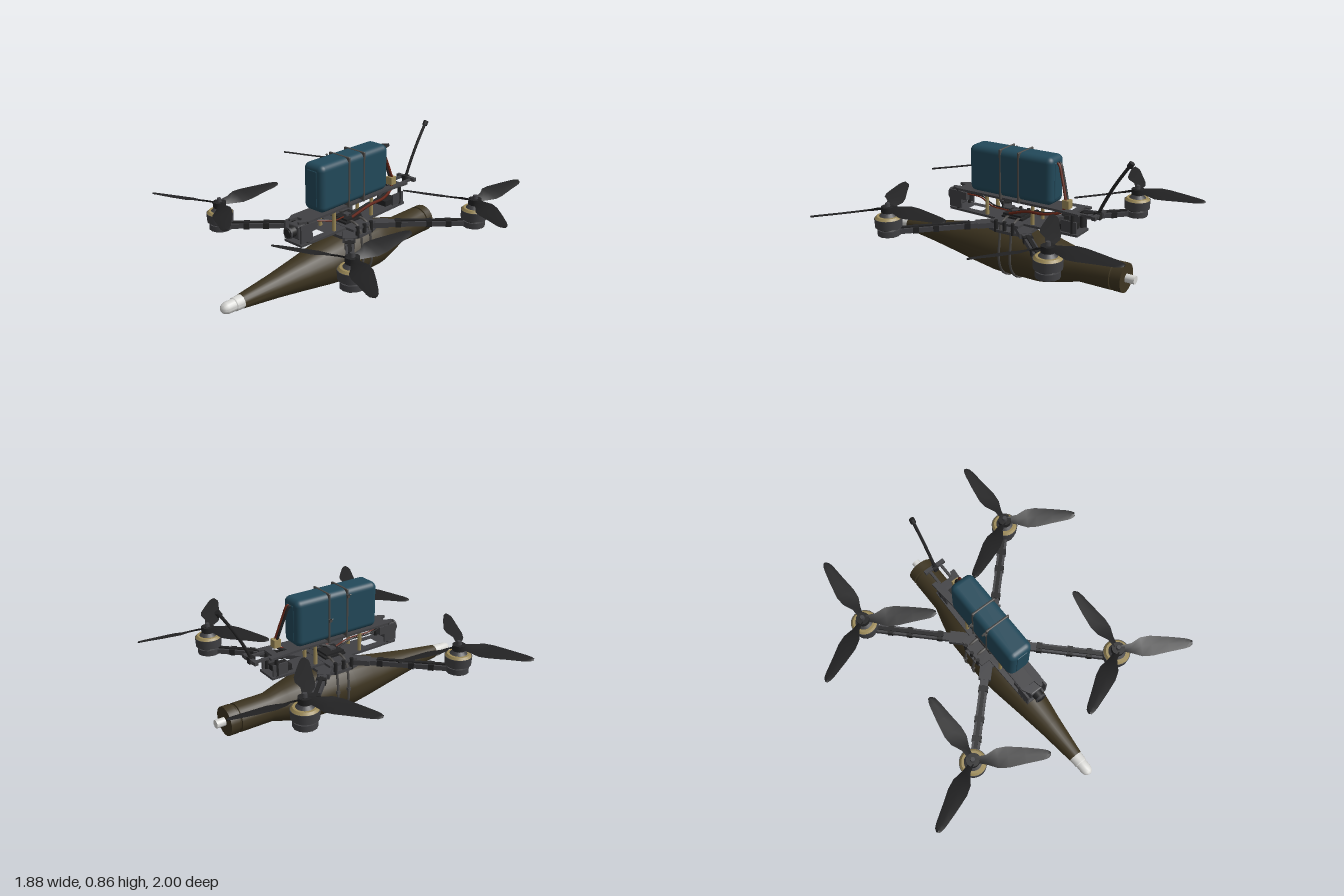
import * as THREE from 'three';
import { toCreasedNormals } from 'three/addons/utils/BufferGeometryUtils.js';
import { RoundedBoxGeometry } from 'three/addons/geometries/RoundedBoxGeometry.js';

const mat = (name, color, side = THREE.FrontSide) => {
  const m = new THREE.MeshStandardMaterial({ color, side });
  m.name = name;
  return m;
};
const V = (x, y, z) => new THREE.Vector3(x, y, z);

export function createModel() {
  const olive = mat('olive', 0x3d3420);
  const teal = mat('teal', 0x22495a);
  const black = mat('black', 0x232324);
  const grey = mat('frame grey', 0x414144);
  const white = mat('pale metal', 0xd8d8d5);
  const brass = mat('brass', 0x9c8a58);
  const red = mat('wire red', 0x642416);
  const strapGrey = mat('strap grey', 0x4a4846);

  const root = new THREE.Group();
  root.name = 'quadcopter';
  root.position.x = -0.015;

  const add = (name, geo, m, x = 0, y = 0, z = 0, parent = root) => {
    const mesh = new THREE.Mesh(geo, m);
    mesh.name = name;
    mesh.position.set(x, y, z);
    parent.add(mesh);
    return mesh;
  };
  const box = (name, m, w, h, d, x, y, z, p) => add(name, new THREE.BoxGeometry(w, h, d), m, x, y, z, p);
  const cyl = (name, m, r1, r2, h, x, y, z, p, n = 20) => add(name, new THREE.CylinderGeometry(r1, r2, h, n), m, x, y, z, p);
  const tube = (name, m, pts, r, closed = false) =>
    add(name, new THREE.TubeGeometry(new THREE.CatmullRomCurve3(pts, closed), 36, r, 6, closed), m);
  // horizontal plate from an outline of [x, z] with optional holes, bottom at y
  const plate = (name, m, pts, holes, h, y) => {
    const toV = (a) => a.map(([x, z]) => new THREE.Vector2(x, -z));
    const s = new THREE.Shape(toV(pts));
    for (const hole of holes) s.holes.push(new THREE.Path(toV(hole)));
    const g = new THREE.ExtrudeGeometry(s, { depth: h, bevelEnabled: false }).rotateX(-Math.PI / 2);
    return add(name, g, m, 0, y, 0);
  };
  const rect = (x, z0, z1) => [[-x, z0], [x, z0], [x, z1], [-x, z1]];
  // lathe along z from [z, radius] points listed back to front
  const spindle = (name, m, pts, n = 18) => {
    const g = new THREE.LatheGeometry(pts.map(([z, r]) => new THREE.Vector2(r, z)), n).rotateX(Math.PI / 2);
    return add(name, toCreasedNormals(g, 0.6), m, 0, 0.163, 0);
  };

  // Slung body
  spindle('slungBody', olive, [[-0.75, 0], [-0.75, 0.09], [-0.695, 0.09], [-0.692, 0.083], [-0.68, 0.083], [-0.677, 0.09],
    [-0.46, 0.09], [-0.36, 0.118], [-0.24, 0.147], [-0.18, 0.153], [0.1, 0.153], [0.25, 0.132], [0.42, 0.104],
    [0.62, 0.073], [0.86, 0.043], [0.86, 0]]);
  spindle('noseCap', white, [[0.855, 0], [0.855, 0.042], [0.91, 0.04], [0.915, 0.036], [0.965, 0.035], [0.985, 0.027],
    [0.996, 0.014], [0.999, 0]]);
  spindle('tailStub', white, [[-0.808, 0], [-0.808, 0.026], [-0.745, 0.026], [-0.745, 0]]);

  // Ties holding the slung body to the frame
  for (const z of [0.03, -0.05]) {
    const pts = [];
    for (let i = 0; i <= 12; i++) {
      const a = Math.PI * (1 + i / 12);
      pts.push(V(Math.cos(a) * 0.157, 0.163 + Math.sin(a) * 0.157, z));
    }
    pts.push(V(0.148, 0.27, z), V(0.12, 0.38, z), V(0, 0.402, z), V(-0.12, 0.38, z), V(-0.15, 0.27, z));
    const tie = tube('bodyTie', strapGrey, pts, 0.007, true);
    tie.geometry.translate(0, 0, -z).scale(1, 1, 1.3);
    tie.position.z = z;
    box('tieLock', strapGrey, 0.02, 0.02, 0.022, -0.155, 0.2, z);
  }

  // Frame plates
  plate('centrePlate', grey, [[-0.13, -0.12], [-0.07, -0.14], [0.07, -0.14], [0.13, -0.12], [0.15, -0.05], [0.15, 0.05],
    [0.13, 0.12], [0.07, 0.14], [-0.07, 0.14], [-0.13, 0.12], [-0.15, 0.05], [-0.15, -0.05]], [], 0.018, 0.323);
  plate('armClamp', grey, [[-0.14, -0.1], [0.14, -0.1], [0.14, 0.1], [-0.14, 0.1]], [], 0.016, 0.372);
  plate('bottomPlate', grey, [[-0.07, -0.46], [0.07, -0.46], [0.08, -0.1], [0.08, 0.1], [0.07, 0.46], [-0.07, 0.46],
    [-0.08, 0.1], [-0.08, -0.1]], [rect(0.03, 0.24, 0.34)], 0.014, 0.372);
  plate('topPlate', grey, [[-0.085, -0.47], [-0.055, -0.47], [-0.045, -0.44], [0.045, -0.44], [0.055, -0.47], [0.085, -0.47],
    [0.07, -0.28], [0.07, 0.4], [0.045, 0.45], [0.03, 0.45], [0.02, 0.4], [-0.02, 0.4], [-0.03, 0.45], [-0.045, 0.45], [-0.07, 0.4],
    [-0.07, -0.28]], [rect(0.03, -0.4, -0.33), rect(0.025, -0.2, -0.08), rect(0.025, 0.08, 0.2)], 0.014, 0.505);

  for (const sx of [-1, 1]) {
    for (const z of [0.18, -0.15]) cyl('standoff', brass, 0.012, 0.012, 0.14, sx * 0.058, 0.445, z, root, 8);
    for (const z of [0.4, -0.42]) cyl('endStandoff', black, 0.012, 0.012, 0.14, sx * 0.058, 0.445, z, root, 8);
    for (const z of [-0.06, 0, 0.06]) cyl('clampBolt', black, 0.012, 0.012, 0.075, sx * 0.138, 0.36, z, root, 8);
    box('cameraSidePlate', grey, 0.012, 0.11, 0.09, sx * 0.066, 0.448, 0.415);
    box('cameraSideFoot', grey, 0.012, 0.05, 0.05, sx * 0.066, 0.475, 0.355);
    box('rearRail', grey, 0.016, 0.014, 0.13, sx * 0.04, 0.505, -0.51);
    box('rearSidePlate', grey, 0.01, 0.07, 0.1, sx * 0.062, 0.425, -0.4);
  }
  box('antennaBar', grey, 0.145, 0.022, 0.025, 0, 0.508, -0.56);
  box('antennaMount', black, 0.03, 0.04, 0.04, 0, 0.505, -0.555);

  // Electronics
  box('flightBoard', black, 0.11, 0.012, 0.13, 0, 0.412, 0);
  box('powerBoard', black, 0.11, 0.014, 0.15, 0, 0.393, 0);
  box('boardChip', grey, 0.04, 0.012, 0.04, 0, 0.424, 0.01);
  box('radioBox', black, 0.085, 0.035, 0.11, 0, 0.405, -0.36);

  // Camera
  add('cameraBody', new RoundedBoxGeometry(0.085, 0.085, 0.07, 2, 0.01), grey, 0, 0.45, 0.42);
  cyl('cameraLensBarrel', black, 0.03, 0.033, 0.05, 0, 0.455, 0.475).rotation.x = Math.PI / 2;
  cyl('cameraLensRing', grey, 0.035, 0.035, 0.012, 0, 0.455, 0.494).rotation.x = Math.PI / 2;
  cyl('cameraLens', black, 0.025, 0.025, 0.006, 0, 0.455, 0.501).rotation.x = Math.PI / 2;

  // Battery with straps
  add('battery', new RoundedBoxGeometry(0.158, 0.292, 0.585, 4, 0.038), teal, 0, 0.672, 0.007);
  for (const s of [-1, 1]) add('batteryEndFold', new RoundedBoxGeometry(0.075, 0.22, 0.012, 2, 0.005), teal, 0, 0.672, 0.007 + s * 0.29);
  for (const [z, tailY] of [[0.07, 0.78], [-0.06, 0.655]]) {
    const strap = add('batteryStrap', new RoundedBoxGeometry(0.166, 0.316, 0.014, 3, 0.006), strapGrey, 0, 0.664, z);
    strap.name = 'batteryStrap';
    box('strapLock', strapGrey, 0.018, 0.018, 0.018, -0.085, tailY, z);
    box('strapTail', strapGrey, 0.035, 0.006, 0.01, -0.095, tailY + 0.01, z).rotation.z = -0.5;
  }

  // Wiring
  [[red, 0.012], [black, -0.008]].forEach(([m, x]) => {
    tube('batteryLead', m, [V(x, 0.77, -0.27), V(x, 0.775, -0.295), V(x + 0.01, 0.7, -0.325), V(x + 0.03, 0.57, -0.365)], 0.008);
    tube('powerLead', m, [V(x + 0.03, 0.54, -0.365), V(x + 0.04, 0.5, -0.34), V(x + 0.065, 0.475, -0.24),
      V(x + 0.06, 0.465, -0.12), V(x + 0.04, 0.42, 0.02)], 0.009);
    tube('cameraWire', m, [V(x, 0.47, 0.38), V(x - 0.02, 0.46, 0.28), V(x + 0.02, 0.435, 0.16), V(x, 0.42, 0.05)], 0.005);
  });
  box('batteryPlug', brass, 0.045, 0.05, 0.045, 0.032, 0.55, -0.368);

  // Antenna
  tube('antennaRod', black, [V(0, 0.5, -0.548), V(0, 0.58, -0.585), V(0, 0.7, -0.65), V(0, 0.84, -0.742)], 0.01);
  const tip = cyl('antennaTip', black, 0.017, 0.017, 0.03, 0, 0.838, -0.742, root, 10);
  tip.rotation.x = -0.58;

  // Propeller blade pointing to -z: rows of [radius, left edge, right edge, twist height]
  const rows = [[0.02, -0.015, 0.015, 0.012], [0.08, -0.018, 0.034, 0.018], [0.14, -0.046, 0.062, 0.02], [0.2, -0.049, 0.068, 0.016],
    [0.3, -0.03, 0.06, 0.011], [0.4, -0.007, 0.054, 0.007], [0.43, 0.003, 0.048, 0.005], [0.447, 0.014, 0.034, 0.003]];
  const pos = [], idx = [];
  rows.forEach(([r, l, rt, h], i) => {
    const mid = (l + rt) / 2, rise = r * 0.03, t = 0.006;
    pos.push(l, rise + h, -r, mid, rise + t, -r, rt, rise - h, -r, mid, rise - t, -r);
    if (i) for (let k = 0; k < 4; k++) {
      const a = (i - 1) * 4 + k, b = (i - 1) * 4 + (k + 1) % 4;
      idx.push(a, b, a + 4, b, b + 4, a + 4);
    }
  });
  const e = (rows.length - 1) * 4;
  idx.push(e, e + 1, e + 2, e, e + 2, e + 3);
  let bladeGeo = new THREE.BufferGeometry();
  bladeGeo.setAttribute('position', new THREE.Float32BufferAttribute(pos, 3));
  bladeGeo.setIndex(idx);
  bladeGeo = toCreasedNormals(bladeGeo, 0.7);

  // Four arms, each with motor and propeller
  for (const sx of [-1, 1]) for (const sz of [-1, 1]) {
    const arm = new THREE.Group();
    arm.name = (sz > 0 ? 'front' : 'back') + (sx > 0 ? 'Left' : 'Right') + 'Arm';
    arm.rotation.y = Math.atan2(sx, sz);
    root.add(arm);
    box('armBeam', grey, 0.05, 0.03, 0.66, 0, 0.356, 0.44, arm);
    box('armRoot', grey, 0.075, 0.032, 0.14, 0, 0.357, 0.18, arm);
    for (const d of [0.31, 0.5, 0.62]) box('armBand', black, 0.058, 0.038, 0.035, 0, 0.357, d, arm);
    box('motorWire', black, 0.022, 0.01, 0.42, 0, 0.375, 0.5, arm);

    const unit = new THREE.Group();
    unit.name = 'rotorUnit';
    unit.position.set(sx * 0.55, 0, sz * 0.55);
    root.add(unit);
    cyl('motorMount', grey, 0.07, 0.07, 0.036, 0, 0.355, 0, unit, 12);
    cyl('motorBase', black, 0.05, 0.06, 0.02, 0, 0.38, 0, unit);
    cyl('motorBell', grey, 0.083, 0.08, 0.055, 0, 0.415, 0, unit, 24);
    cyl('motorTopRing', brass, 0.068, 0.08, 0.014, 0, 0.449, 0, unit, 24);
    cyl('motorTop', grey, 0.035, 0.055, 0.02, 0, 0.464, 0, unit);
    cyl('propHub', black, 0.04, 0.04, 0.035, 0, 0.495, 0, unit);
    cyl('propNut', grey, 0.014, 0.018, 0.03, 0, 0.52, 0, unit, 6);
    for (let k = 0; k < 3; k++)
      add('propBlade', bladeGeo, black, 0, 0.502, 0, unit).rotation.y = k * Math.PI * 2 / 3;
  }
  return root;
}
